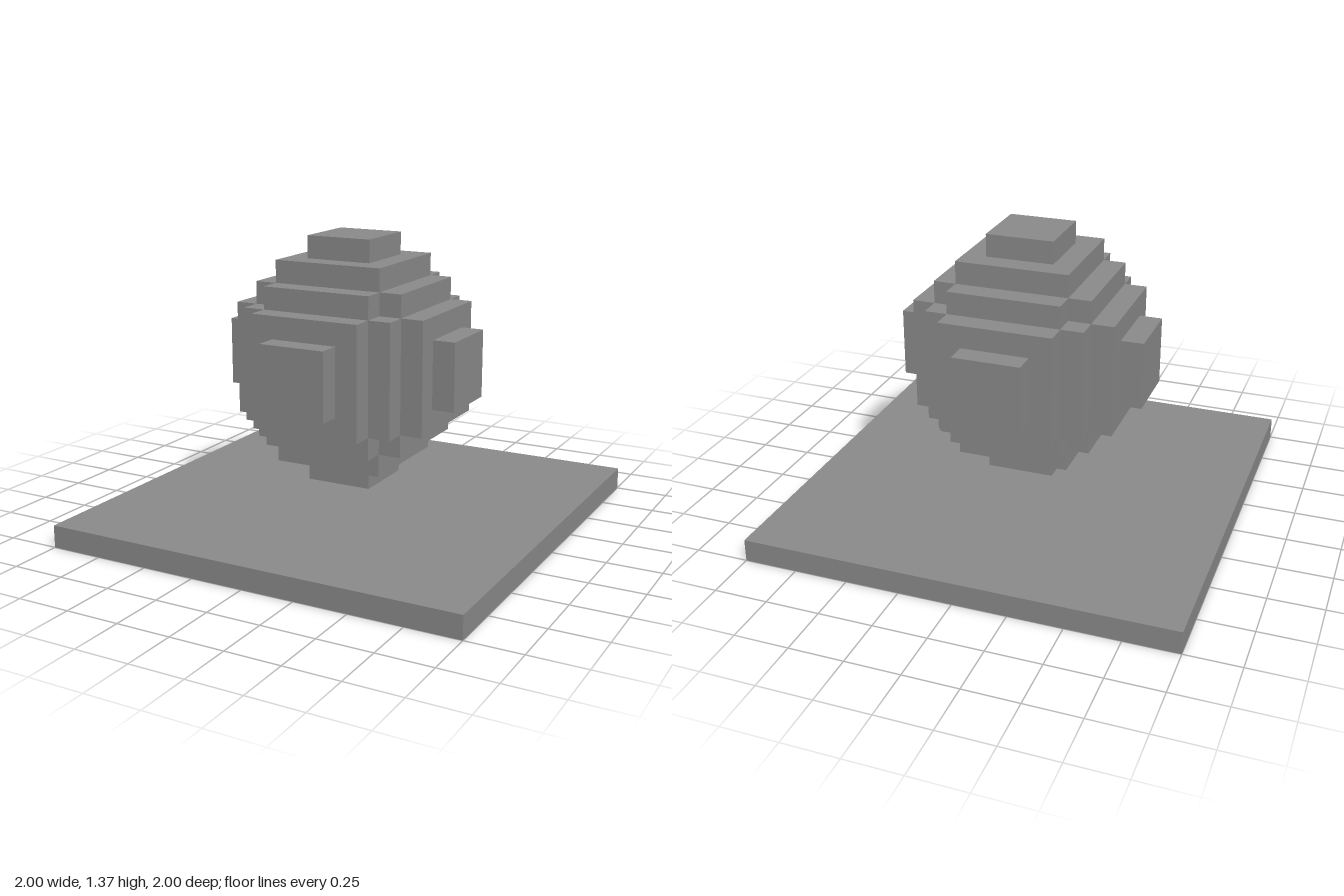
import * as THREE from 'three';

const U = 2 / 19; // one block
const CENTER_Y = 7.5 * U;

export function createModel() {
  const model = new THREE.Group();
  model.name = 'blockSphereOnSlab';
  const grey = new THREE.MeshStandardMaterial({ color: 0x8c8c8c });
  grey.name = 'stone grey';

  // Box sized in blocks
  const addBox = (parent, name, size, y) => {
    const mesh = new THREE.Mesh(new THREE.BoxGeometry(...size.map((s) => s * U)), grey);
    mesh.name = name;
    mesh.position.y = y;
    parent.add(mesh);
  };

  // Ground slab
  addBox(model, 'baseSlab', [19, 1, 19], U / 2);

  // Floating stepped sphere: the same three boxes crossed along each axis
  const sphere = new THREE.Group();
  sphere.name = 'steppedSphere';
  sphere.position.y = CENTER_Y;
  model.add(sphere);
  const layers = [
    { name: 'core', wide: 7, long: 5 },
    { name: 'step', wide: 5, long: 9 },
    { name: 'cap', wide: 3, long: 11 },
  ];
  ['X', 'Y', 'Z'].forEach((axis, i) => {
    for (const { name, wide, long } of layers) {
      const size = [wide, wide, wide];
      size[i] = long;
      addBox(sphere, name + axis, size, 0);
    }
  });

  return model;
}
